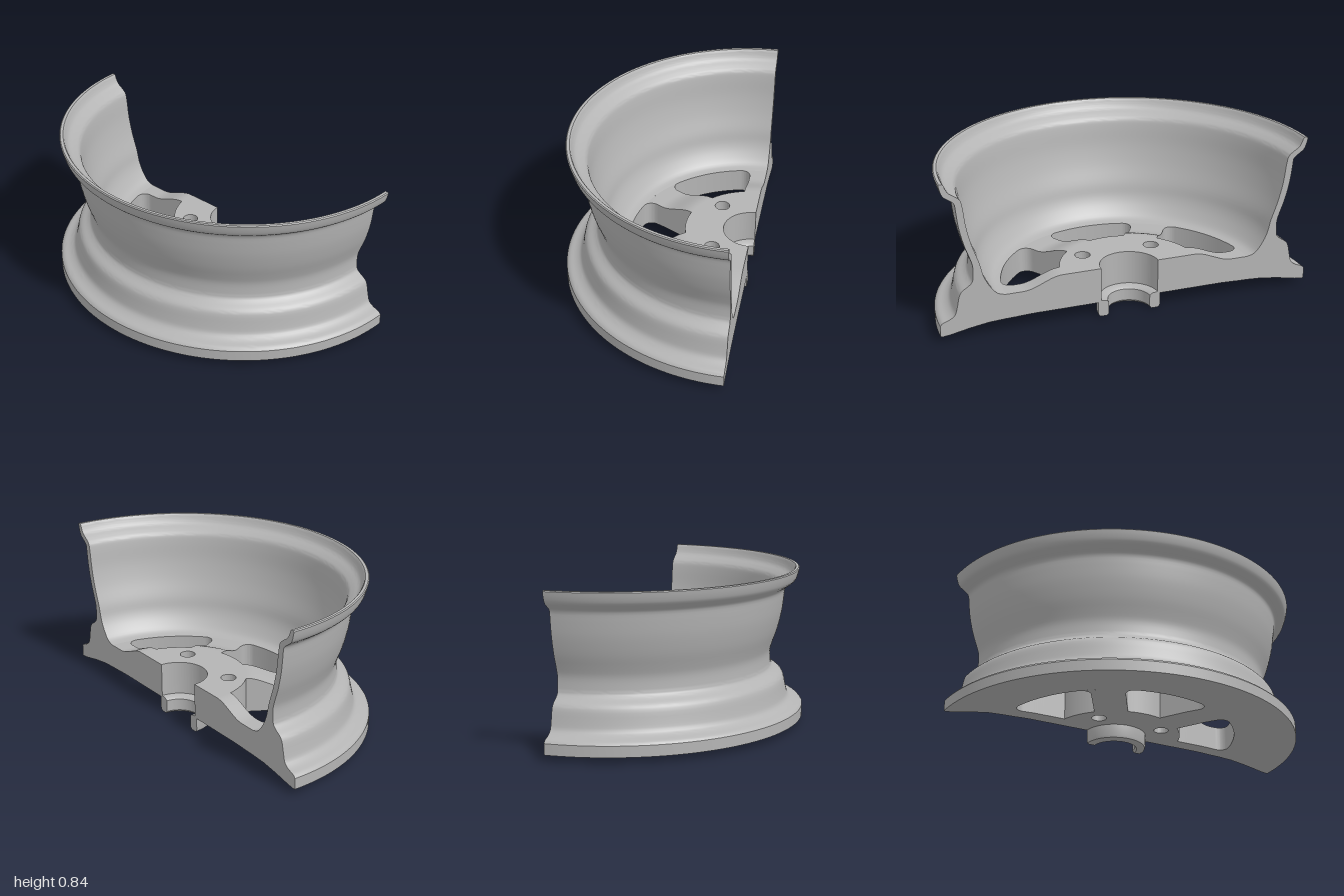
import * as THREE from 'three';
import { toCreasedNormals } from 'three/addons/utils/BufferGeometryUtils.js';

const V = (x, y) => new THREE.Vector2(x, y);
const smooth = (x, a, b) => THREE.MathUtils.smoothstep(x, a, b);
const spline = (pts, n) => new THREE.SplineCurve(pts.map(p => V(...p))).getPoints(n);

// Heights of the wheel face above and below, by radius
const HUB_R = 0.36, WINDOW_R = 0.66, HUB_TOP = 0.27, HUB_BOTTOM = 0.08;
const faceTop = r => HUB_TOP - 0.06 * smooth(r, HUB_R, 0.57);
const faceBottom = r => HUB_BOTTOM - 0.005 * smooth(r, 0.5, WINDOW_R);

export function createModel() {
  const metal = new THREE.MeshStandardMaterial({ color: 0xb4b4b4 });
  metal.name = 'grey metal';
  const model = new THREE.Group();
  model.name = 'halfWheelRim';

  const add = (geometry, name) => {
    const mesh = new THREE.Mesh(toCreasedNormals(geometry, 0.6), metal);
    mesh.name = name;
    model.add(mesh);
  };

  // Half turn of a closed profile, with both cut faces filled
  const halfTurn = (profile, name, segments) => {
    add(new THREE.LatheGeometry([...profile, profile[0].clone()], segments, -Math.PI / 2, Math.PI), name);
    for (const side of [1, -1]) {
      const cap = new THREE.ShapeGeometry(new THREE.Shape(profile.map(p => V(-side * p.x, p.y))));
      cap.rotateY(Math.PI);
      add(cap, name + (side > 0 ? 'LeftCut' : 'RightCut'));
    }
  };

  // Barrel with its two flanges and the outer ring of the face
  const outside = spline([
    [1, 0.09], [0.985, 0.105], [0.95, 0.118], [0.922, 0.14], [0.91, 0.18], [0.897, 0.24],
    [0.88, 0.265], [0.85, 0.285], [0.83, 0.305], [0.825, 0.335], [0.825, 0.39], [0.84, 0.44],
    [0.865, 0.51], [0.887, 0.6], [0.898, 0.68], [0.905, 0.73], [0.93, 0.752], [0.96, 0.775],
    [0.973, 0.805], [0.98, 0.835]], 60);
  const inside = spline([
    [0.955, 0.835], [0.945, 0.81], [0.93, 0.788], [0.9, 0.768], [0.875, 0.745], [0.864, 0.7],
    [0.85, 0.6], [0.825, 0.5], [0.79, 0.4], [0.772, 0.33], [0.745, 0.275], [0.705, 0.225],
    [WINDOW_R, 0.21]], 50);
  halfTurn([
    V(WINDOW_R, 0.075), V(0.75, 0.07), V(0.85, 0.055), V(0.95, 0.035), V(0.99, 0.03), V(1, 0.032),
    ...outside, V(0.975, 0.84), V(0.96, 0.84), ...inside], 'rim', 96);

  // Hub plate with bolt holes and half of the centre bore
  const plate = new THREE.Shape();
  plate.absarc(0, 0, HUB_R, Math.PI, 2 * Math.PI, false);
  plate.absarc(0, 0, 0.155, 2 * Math.PI, Math.PI, true);
  for (const side of [1, -1]) {
    const hole = new THREE.Path();
    hole.absarc(side * 0.19, -0.19, 0.04, 0, 2 * Math.PI, true);
    plate.holes.push(hole);
  }
  const hub = new THREE.ExtrudeGeometry(plate, {
    depth: HUB_TOP - HUB_BOTTOM, bevelEnabled: false, curveSegments: 40 });
  hub.rotateX(-Math.PI / 2).translate(0, HUB_BOTTOM, 0);
  add(hub, 'hub');

  // Centring collar below the hub
  halfTurn([V(0.112, 0.012), V(0.122, 0), V(0.155, 0), V(0.166, 0.006), V(0.17, 0.018),
    V(0.17, 0.09), V(0.155, 0.09), V(0.125, 0.085), V(0.112, 0.075)], 'collar', 48);

  // Spokes: constant width, widening into rounded window corners at the outer end.
  // s0 and s1 select the part of the width, so the end spokes are cut in half.
  const halfAngle = r => {
    const corner = 0.06, d = Math.max(0, r - (WINDOW_R - corner));
    return Math.asin(0.09 / r) + (corner - Math.sqrt(Math.max(0, corner * corner - d * d))) / r;
  };
  const spoke = (centre, s0, s1, name) => {
    const across = 12, rows = 36, loop = 2 * (across + 1);
    const pos = [], index = [];
    for (let j = 0; j <= rows; j++) {
      const r = HUB_R - 0.01 + (WINDOW_R - HUB_R + 0.01) * Math.sin((j / rows) * Math.PI / 2);
      for (let k = 0; k < loop; k++) {
        const top = k <= across;
        const t = (top ? k : loop - 1 - k) / across;
        const phi = centre + (s0 + (s1 - s0) * t) * halfAngle(r);
        pos.push(r * Math.sin(phi), top ? faceTop(r) : faceBottom(r), r * Math.cos(phi));
      }
    }
    for (let j = 0; j < rows; j++) {
      for (let k = 0; k < loop; k++) {
        const a = j * loop + k, b = j * loop + (k + 1) % loop;
        index.push(a, a + loop, b, b, a + loop, b + loop);
      }
    }
    const g = new THREE.BufferGeometry();
    g.setAttribute('position', new THREE.Float32BufferAttribute(pos, 3));
    g.setIndex(index);
    add(g, name);
  };
  spoke(Math.PI / 6, -1, 1, 'leftSpoke');
  spoke(-Math.PI / 6, -1, 1, 'rightSpoke');
  spoke(Math.PI / 2, -1, 0, 'leftCutSpoke');
  spoke(-Math.PI / 2, 0, 1, 'rightCutSpoke');

  // Put the wheel axis on the back cut plane
  model.children.forEach(m => { m.position.z = -0.5; });
  return model;
}
